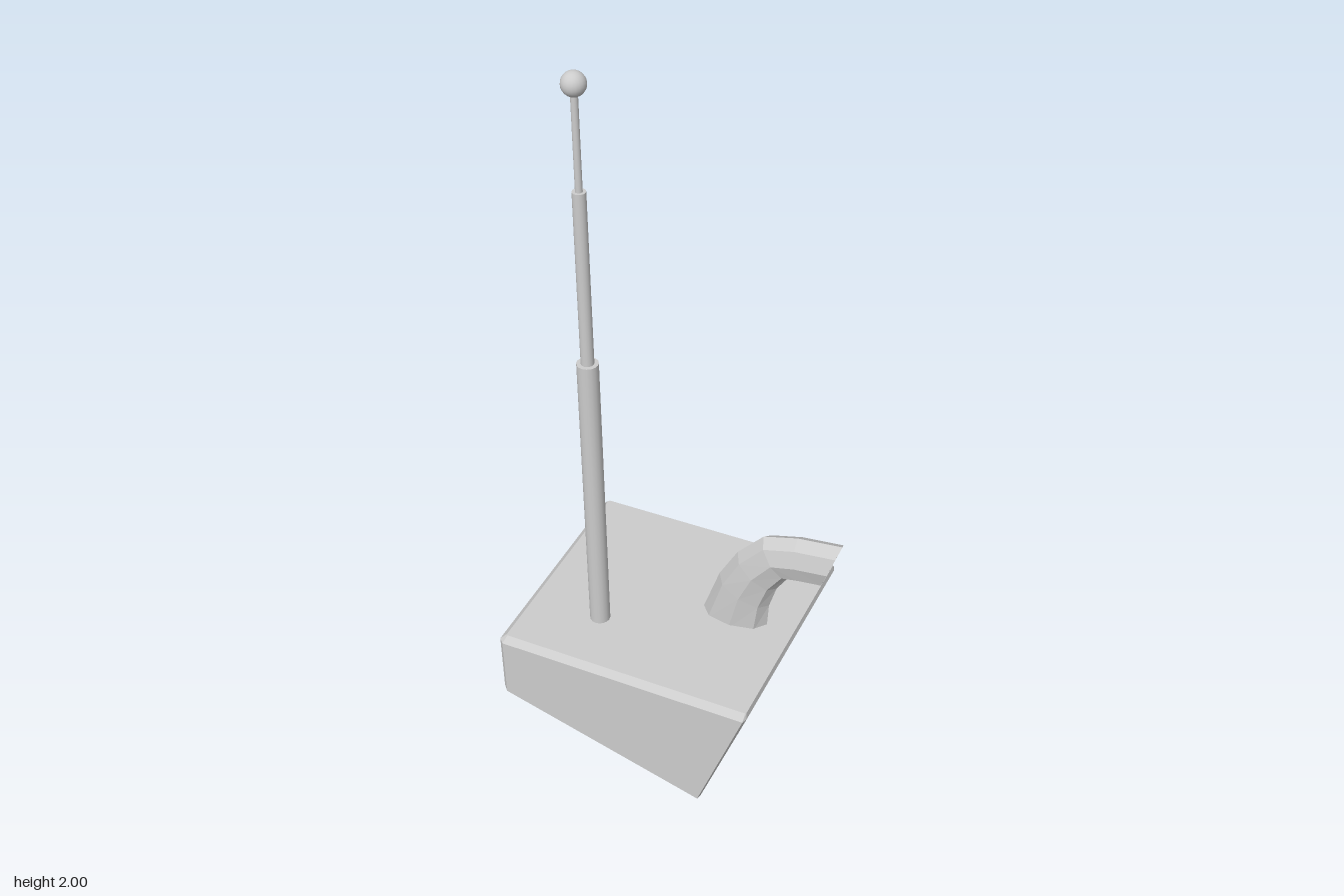
import * as THREE from 'three';

const material = new THREE.MeshStandardMaterial({ color: 0xcccccc });
const flatMaterial = new THREE.MeshStandardMaterial({ color: 0xcccccc, flatShading: true });

// Closed solid through rings of [x, y, z], each counterclockwise seen from the end of the loft.
function loft(rings) {
  const n = rings[0].length;
  const index = [];
  for (let r = 0; r < rings.length - 1; r++) {
    for (let i = 0; i < n; i++) {
      const j = (i + 1) % n, a = r * n, b = a + n;
      index.push(a + i, a + j, b + j, a + i, b + j, b + i);
    }
  }
  const last = (rings.length - 1) * n;
  for (let i = 1; i < n - 1; i++) {
    index.push(0, i + 1, i, last, last + i, last + i + 1);
  }
  const geometry = new THREE.BufferGeometry();
  geometry.setAttribute('position', new THREE.Float32BufferAttribute(rings.flat(2), 3));
  geometry.setIndex(index);
  const flat = geometry.toNonIndexed();
  flat.computeVertexNormals();
  return flat;
}

// Rectangle outline with cut corners, at the height given by a function of x and z.
function cutOutline(left, rightFront, rightBack, back, front, cut, cutRight, height) {
  return [
    [left, front - cut], [left + cut, front],
    [rightFront - cutRight, front], [rightFront, front - cut],
    [rightBack, back + cut], [rightBack - cutRight, back],
    [left + cut, back], [left, back + cut],
  ].map(([x, z]) => [x, height(x, z), z]);
}

export function createModel() {
  const group = new THREE.Group();
  const add = (name, geometry, mat, x = 0, y = 0, z = 0) => {
    const mesh = new THREE.Mesh(geometry, mat);
    mesh.name = name;
    mesh.position.set(x, y, z);
    group.add(mesh);
    return mesh;
  };

  // Wedge body with a sloping underside and chamfered top edges
  const underside = (x, z) => 0.05 - 0.3 * x + (0.39 - z) * 0.09;
  add('body', loft([
    cutOutline(-0.43, 0.17, 0.19, -0.27, 0.39, 0.015, 0.004, underside),
    cutOutline(-0.43, 0.3, 0.31, -0.27, 0.39, 0.015, 0.006, () => 0.36),
    cutOutline(-0.412, 0.297, 0.306, -0.255, 0.372, 0.004, 0.003, () => 0.377),
  ]), flatMaterial);

  // Telescopic antenna: three narrowing stages and a ball
  const stages = [[0.028, 0.36, 1.23], [0.017, 1.23, 1.705], [0.009, 1.705, 1.96]];
  for (const [radius, from, to] of stages) {
    add('antennaStage', new THREE.CylinderGeometry(radius, radius, to - from, 16),
      material, -0.21, (from + to) / 2, 0.203);
  }
  add('antennaBall', new THREE.SphereGeometry(0.03, 20, 14), material, -0.21, 1.97, 0.203);

  // Bent exhaust pipe: octagonal sections between the outer and inner bend
  const stations = [
    [0.03, 0.365, 0.222, 0.365], [0.08, 0.515, 0.227, 0.45], [0.132, 0.61, 0.247, 0.52],
    [0.205, 0.69, 0.282, 0.575], [0.3, 0.717, 0.318, 0.58], [0.423, 0.73, 0.375, 0.587],
  ];
  add('exhaustPipe', loft(stations.map(([ox, oy, ix, iy]) =>
    Array.from({ length: 8 }, (_, i) => {
      const t = (i / 8) * Math.PI * 2, c = Math.cos(t) / 2;
      return [(ox + ix) / 2 + c * (ix - ox), (oy + iy) / 2 + c * (iy - oy),
        0.045 - 0.045 * Math.sin(t)];
    }))), flatMaterial);

  // Two tapered knobs on the back
  for (const x of [-0.165, 0.108]) {
    const knob = new THREE.CylinderGeometry(0.045, 0.06, 0.13, 16);
    knob.rotateX(-Math.PI / 2);
    add('backKnob', knob, material, x, 0.195, -0.328);
  }

  // Slanted fin on the back, flush with the sloping side
  const fin = (y, points) => points.map(([x, z]) => [x, y, z]);
  add('backFin', loft([
    fin(0.13, [[0.215, -0.26], [0.215, -0.345], [0.2, -0.34], [0.175, -0.31], [0.165, -0.26]]),
    fin(0.25, [[0.27, -0.26], [0.272, -0.37], [0.245, -0.36], [0.187, -0.32], [0.166, -0.26]]),
  ]), flatMaterial);

  return group;
}
